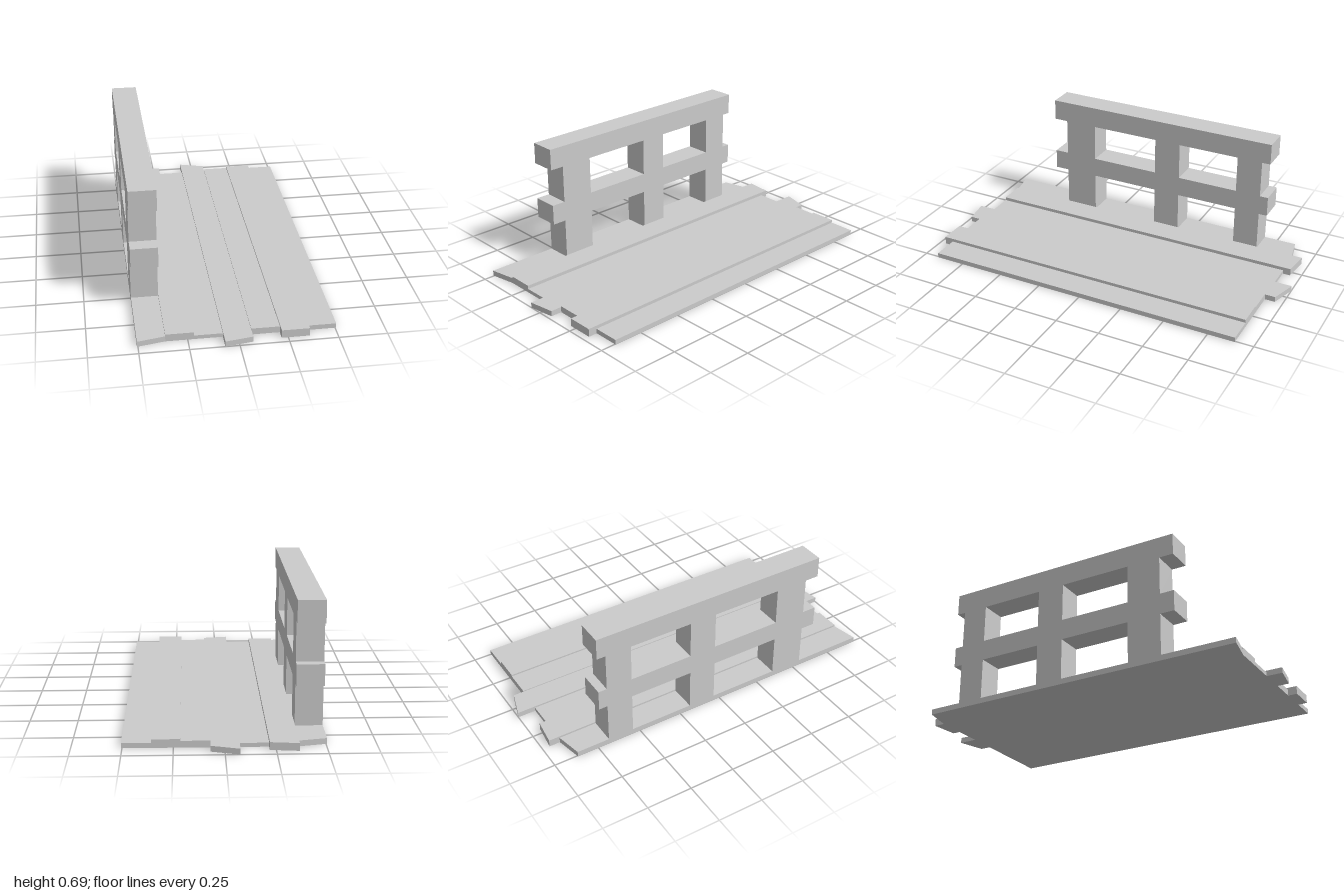
import * as THREE from 'three';

const material = new THREE.MeshStandardMaterial({ color: 0xcccccc, flatShading: true });

function addMesh(parent, name, geometry) {
  const mesh = new THREE.Mesh(geometry, material);
  mesh.name = name;
  parent.add(mesh);
  return mesh;
}

// Plank lying along z; each end can be cut at a slant
function plankGeometry(x0, x1, height, [back0, back1], [front0, front1]) {
  const shape = new THREE.Shape([
    new THREE.Vector2(x0, -front0),
    new THREE.Vector2(x1, -front1),
    new THREE.Vector2(x1, -back1),
    new THREE.Vector2(x0, -back0),
  ]);
  return new THREE.ExtrudeGeometry(shape, { depth: height, bevelEnabled: false }).rotateX(-Math.PI / 2);
}

export function createModel() {
  const model = new THREE.Group();
  model.name = 'plankDeckWithRailing';

  // Deck: seven planks of uneven height and length
  const deck = new THREE.Group();
  deck.name = 'deck';
  model.add(deck);
  const edges = [-0.505, -0.362, -0.218, -0.073, 0.07, 0.216, 0.359, 0.505];
  const planks = [ // height, back z at both corners, front z at both corners
    [0.03, [-0.87, -0.9], [0.942, 0.915]],
    [0.04, [-0.96, -0.943], [0.915, 0.915]],
    [0.021, [-0.9, -0.9], [0.915, 0.915]],
    [0.03, [-1, -0.957], [1, 0.977]],
    [0.035, [-0.9, -0.9], [0.915, 0.915]],
    [0.044, [-0.9, -0.9], [0.964, 0.964]],
    [0.026, [-0.9, -0.9], [0.915, 0.915]],
  ];
  planks.forEach(([height, back, front], i) =>
    addMesh(deck, `plank${i + 1}`, plankGeometry(edges[i], edges[i + 1], height, back, front)));

  // Railing: two rails with posts fitted flush between them
  const railing = new THREE.Group();
  railing.name = 'railing';
  model.add(railing);
  const addBlock = (name, y0, y1, z0, z1) =>
    addMesh(railing, name, new THREE.BoxGeometry(edges[1] - edges[0], y1 - y0, z1 - z0))
      .position.set((edges[0] + edges[1]) / 2, (y0 + y1) / 2, (z0 + z1) / 2);

  addBlock('middleRail', 0.255, 0.368, -0.735, 0.622);
  addBlock('topRail', 0.577, 0.695, -0.735, 0.622);
  const posts = [['frontPost', 0.357, 0.543], ['centrePost', -0.19, -0.037], ['backPost', -0.687, -0.543]];
  for (const [name, z0, z1] of posts) {
    addBlock(`${name}Lower`, 0.03, 0.255, z0, z1);
    addBlock(`${name}Upper`, 0.368, 0.577, z0, z1);
  }

  return model;
}
